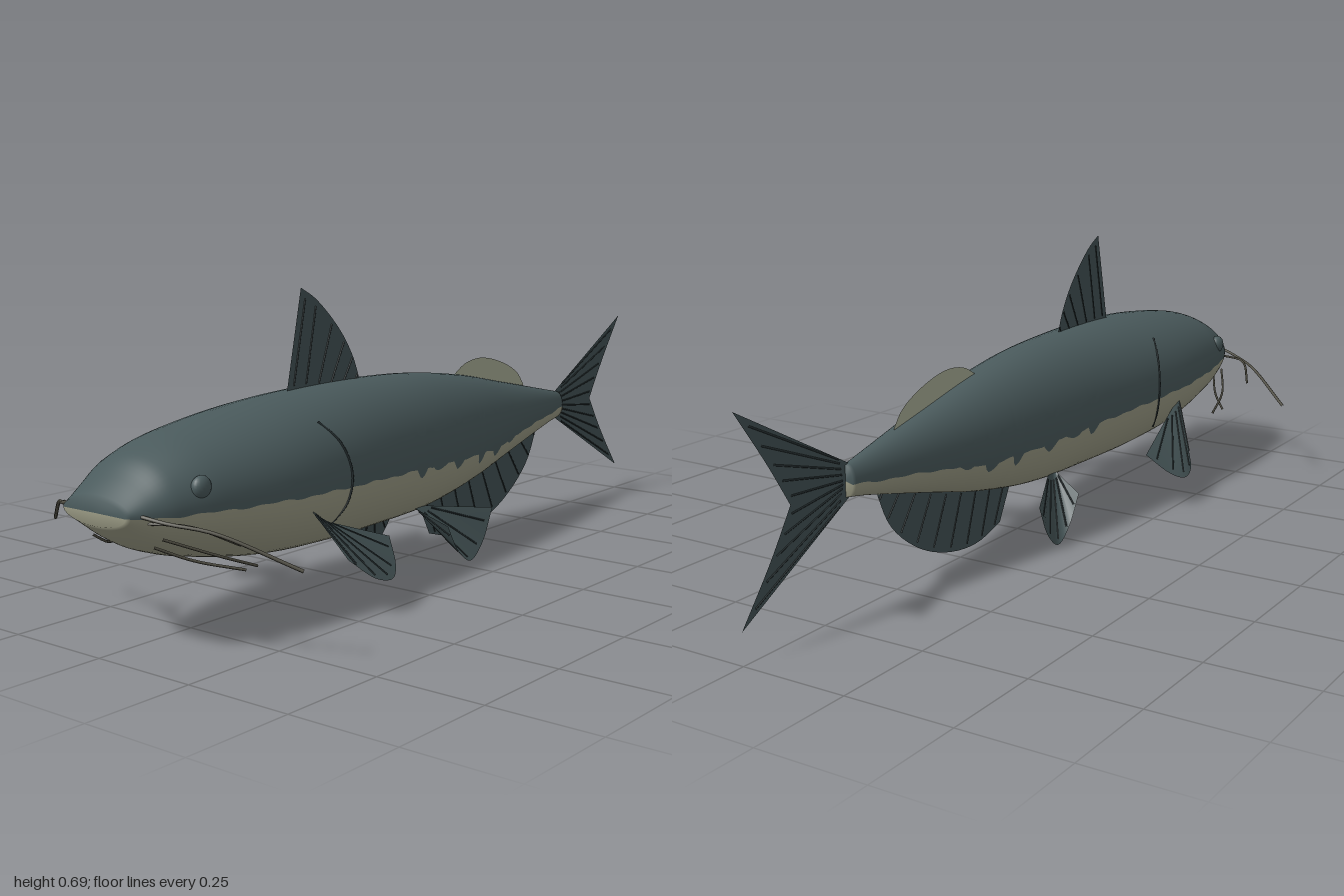
import * as THREE from 'three';

const mat = (name, color, side = THREE.FrontSide) => {
  const m = new THREE.MeshStandardMaterial({ color, side });
  m.name = name;
  return m;
};
const V = (p) => new THREE.Vector3(...p);

// Body stations: x, top, bottom, half width
const STATIONS = [
  [-1, 0.322, 0.268, 0.09], [-0.95, 0.36, 0.228, 0.115], [-0.9, 0.395, 0.2, 0.135],
  [-0.8, 0.427, 0.168, 0.158], [-0.6, 0.455, 0.13, 0.178], [-0.4, 0.467, 0.116, 0.17],
  [-0.2, 0.467, 0.115, 0.151], [0, 0.457, 0.121, 0.131], [0.2, 0.43, 0.152, 0.105],
  [0.4, 0.388, 0.2, 0.07], [0.6, 0.345, 0.247, 0.033], [0.67, 0.33, 0.26, 0.02],
];
// Lower edge of the dark back: x, y
const EDGE = [[-1, 0.292], [-0.5, 0.272], [-0.2, 0.26], [0.1, 0.247], [0.25, 0.242], [0.4, 0.265], [0.67, 0.29]];
// Drips of the back colour: x, depth, half width
const DRIPS = [[-0.13, 0.024, 0.02], [-0.05, 0.012, 0.03], [0.04, 0.025, 0.022], [0.16, 0.028, 0.018], [0.25, 0.02, 0.02], [0.33, 0.012, 0.02]];

function table(rows, x, smooth) {
  let i = 0;
  while (i < rows.length - 2 && x > rows[i + 1][0]) i++;
  const a = rows[i], b = rows[i + 1], h = b[0] - a[0];
  const t = THREE.MathUtils.clamp((x - a[0]) / h, 0, 1);
  const p = rows[Math.max(i - 1, 0)], n = rows[Math.min(i + 2, rows.length - 1)];
  return a.slice(1).map((v, k) => {
    const w = b[k + 1];
    if (!smooth) return v + (w - v) * t;
    const m0 = (w - p[k + 1]) / (b[0] - p[0]) * h, m1 = (n[k + 1] - v) / (n[0] - a[0]) * h;
    const t2 = t * t, t3 = t2 * t;
    return (2 * t3 - 3 * t2 + 1) * v + (t3 - 2 * t2 + t) * m0 + (3 * t2 - 2 * t3) * w + (t3 - t2) * m1;
  });
}
function section(x) {
  const [top, bottom, w] = table(STATIONS, x, true);
  return { cy: (top + bottom) / 2, h: (top - bottom) / 2, w };
}
function edgeY(x) {
  let y = table(EDGE, x)[0] + 0.003 * Math.sin(x * 61) * Math.sin(x * 23);
  for (const [c, d, r] of DRIPS) y -= d * Math.sqrt(Math.max(0, 1 - Math.abs(x - c) / r));
  return y;
}
// Point on the flank at a given x and y
function flank(x, y, side, lift = 0) {
  const { cy, h, w } = section(x);
  return new THREE.Vector3(x, y, side * (w * Math.sqrt(Math.max(0, 1 - ((y - cy) / h) ** 2)) + lift));
}

// One colour zone of the body, from the colour edge over the back or under the belly
function bodyShell(back) {
  const N = 180, M = 28, pos = [], idx = [];
  for (let i = -1; i <= N + 1; i++) {
    const x = -1 + 1.67 * THREE.MathUtils.clamp(i / N, 0, 1);
    const s = section(x), k = i < 0 || i > N ? 0 : 1;
    const e = Math.asin(THREE.MathUtils.clamp((edgeY(x) - s.cy) / s.h, -0.95, 0.95));
    const a0 = back ? e : Math.PI - e, a1 = back ? Math.PI - e : Math.PI * 2 + e;
    for (let j = 0; j <= M; j++) {
      const a = a0 + (a1 - a0) * j / M;
      pos.push(x, s.cy + k * s.h * Math.sin(a), k * s.w * Math.cos(a));
    }
  }
  for (let i = 0; i < N + 2; i++) for (let j = 0; j < M; j++) {
    const a = i * (M + 1) + j, b = a + M + 1;
    idx.push(a, b, b + 1, a, b + 1, a + 1);
  }
  return surface(pos, idx);
}
function surface(pos, idx) {
  const g = new THREE.BufferGeometry();
  g.setAttribute('position', new THREE.Float32BufferAttribute(pos, 3));
  g.setIndex(idx);
  g.computeVertexNormals();
  return g;
}

export function createModel() {
  const model = new THREE.Group();
  model.name = 'catfish';
  const backMat = mat('slate back', 0x4a5a5c);
  const bellyMat = mat('pale belly', 0x9c9c86);
  const finMat = mat('slate fin', 0x435254, THREE.DoubleSide);
  const paleFin = mat('pale fin', 0xa9ad96, THREE.DoubleSide);
  const rayMat = mat('dark ray', 0x262f31);
  const barbelMat = mat('barbel brown', 0x504e43);

  const add = (name, geo, m, parent = model) => {
    const mesh = new THREE.Mesh(geo, m);
    mesh.name = name;
    parent.add(mesh);
    return mesh;
  };
  const tube = (pts, r, n = 16) => new THREE.TubeGeometry(new THREE.CatmullRomCurve3(pts), n, r, 6);

  // Fin membrane stretched from a root curve to a margin curve, with raised rays
  function fin(name, root, margin, rays, m = finMat) {
    const g = new THREE.Group();
    g.name = name;
    model.add(g);
    const R = new THREE.CatmullRomCurve3(root.map(V)), E = new THREE.CatmullRomCurve3(margin.map(V));
    const N = 24, pos = [], idx = [];
    for (let i = 0; i <= N; i++) {
      pos.push(...R.getPoint(i / N).toArray(), ...E.getPoint(i / N).toArray());
      if (i < N) idx.push(2 * i, 2 * i + 1, 2 * i + 3, 2 * i, 2 * i + 3, 2 * i + 2);
    }
    add(name + 'Membrane', surface(pos, idx), m, g);
    for (let i = 0; i < rays; i++) {
      const t = (i + 0.5) / rays, a = R.getPoint(t), b = E.getPoint(t);
      add(name + 'Ray', tube([a.clone().lerp(b, 0.1), a.clone().lerp(b, 0.93)], 0.0022, 1), rayMat, g);
    }
  }

  // Body
  add('back', bodyShell(true), backMat);
  add('belly', bodyShell(false), bellyMat);

  // Fins on the centre line
  fin('dorsalFin', [[-0.445, 0.45, 0], [-0.32, 0.455, 0], [-0.19, 0.455, 0]],
    [[-0.392, 0.69, 0], [-0.34, 0.66, 0], [-0.26, 0.585, 0], [-0.215, 0.52, 0], [-0.19, 0.46, 0]], 6);
  fin('adiposeFin', [[0.18, 0.42, 0], [0.35, 0.39, 0], [0.5, 0.36, 0]],
    [[0.18, 0.43, 0], [0.23, 0.455, 0], [0.3, 0.463, 0], [0.4, 0.44, 0], [0.47, 0.405, 0], [0.5, 0.37, 0]], 0, paleFin);
  fin('analFin', [[0.03, 0.135, 0], [0.3, 0.185, 0], [0.57, 0.25, 0]],
    [[0.08, 0.04, 0], [0.18, 0.016, 0], [0.3, 0.028, 0], [0.42, 0.075, 0], [0.52, 0.155, 0], [0.57, 0.25, 0]], 9);
  fin('upperTailLobe', [[0.66, 0.333, 0], [0.66, 0.293, 0]], [[1, 0.515, 0], [0.91, 0.39, 0], [0.845, 0.29, 0]], 5);
  fin('lowerTailLobe', [[0.66, 0.293, 0], [0.66, 0.257, 0]], [[0.845, 0.29, 0], [0.91, 0.19, 0], [1, 0.072, 0]], 5);

  for (const s of [1, -1]) {
    const side = s > 0 ? 'left' : 'right';
    const mir = (pts) => pts.map(([x, y, z]) => [x, y, z * s]);
    // Paired fins
    fin(side + 'PectoralFin', mir([[-0.555, 0.245, 0.164], [-0.5, 0.205, 0.16]]),
      mir([[-0.5, 0.13, 0.222], [-0.45, 0.085, 0.256], [-0.4, 0.074, 0.262], [-0.36, 0.092, 0.24], [-0.32, 0.143, 0.19]]), 5);
    fin(side + 'PelvicFin', mir([[-0.07, 0.142, 0.07], [-0.03, 0.142, 0.07]]),
      mir([[-0.045, 0.105, 0.15], [0, 0.034, 0.15], [0.05, 0.001, 0.15], [0.1, 0.038, 0.15], [0.14, 0.118, 0.15]]), 5);

    // Eye
    const eye = add(side + 'Eye', new THREE.SphereGeometry(0.024, 20, 14), backMat);
    eye.position.copy(flank(-0.845, 0.337, s, -0.004));
    eye.scale.z = 0.7;

    // Gill slit
    const gill = [[-0.48, 0.415], [-0.445, 0.37], [-0.425, 0.3], [-0.432, 0.235], [-0.465, 0.18]];
    add(side + 'GillSlit', tube(gill.map(([x, y]) => flank(x, y, s)), 0.003, 24), rayMat);

    // Barbels: one long and two short on each side
    [
      [[-0.975, 0.298, 0.09], [-0.95, 0.285, 0.15], [-0.9, 0.268, 0.225], [-0.8, 0.195, 0.363]],
      [[-0.96, 0.28, 0.1], [-0.92, 0.278, 0.185], [-0.84, 0.235, 0.237]],
      [[-0.93, 0.245, 0.115], [-0.83, 0.2, 0.165], [-0.735, 0.162, 0.18]],
      [[-0.93, 0.225, 0.09], [-0.86, 0.19, 0.13], [-0.78, 0.165, 0.192]],
    ].forEach((pts, i) => add(side + 'Barbel', tube(mir(pts).map(V), i ? 0.003 : 0.004), barbelMat));
  }
  return model;
}
